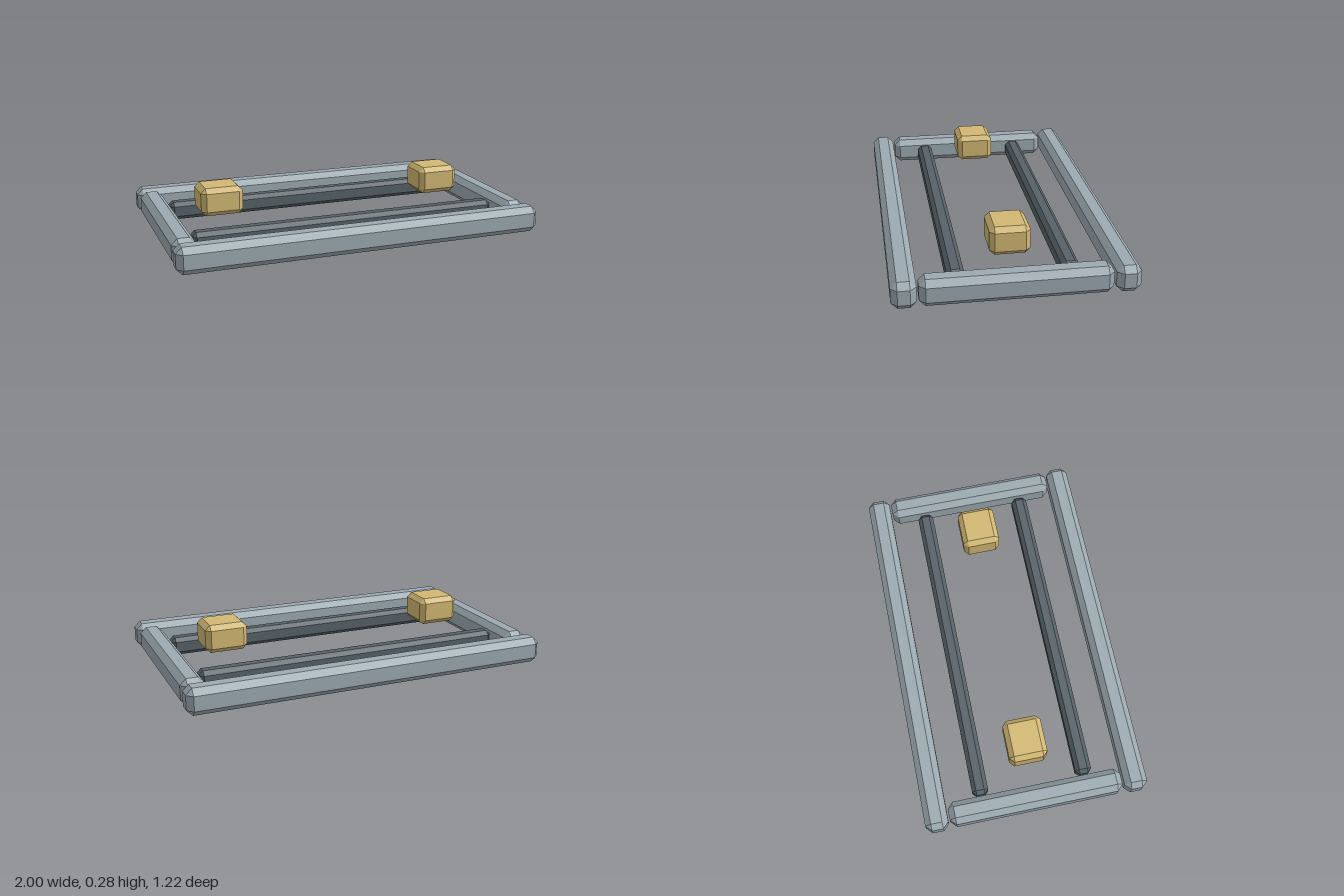
import * as THREE from 'three';
import { ConvexGeometry } from 'three/addons/geometries/ConvexGeometry.js';

// Box with chamfered edges and triangular corner facets
function chamferBox(w, h, d, c) {
  const points = [];
  for (const x of [-w / 2, w / 2])
    for (const y of [-h / 2, h / 2])
      for (const z of [-d / 2, d / 2]) {
        const ix = x - Math.sign(x) * c, iy = y - Math.sign(y) * c, iz = z - Math.sign(z) * c;
        points.push(
          new THREE.Vector3(x, iy, iz),
          new THREE.Vector3(ix, y, iz),
          new THREE.Vector3(ix, iy, z)
        );
      }
  return new ConvexGeometry(points);
}

export function createModel() {
  const group = new THREE.Group();
  const material = (color) => new THREE.MeshStandardMaterial({ color, flatShading: true });
  const frameMat = material(0x9caab1);
  const barMat = material(0x566167);
  const blockMat = material(0xd2b873);

  const add = (name, geometry, mat, x, y, z) => {
    const mesh = new THREE.Mesh(geometry, mat);
    mesh.name = name;
    mesh.position.set(x, y, z);
    group.add(mesh);
  };

  const longRail = chamferBox(2, 0.142, 0.125, 0.032);
  const endRail = chamferBox(0.125, 0.142, 0.95, 0.032);
  const innerBar = chamferBox(1.72, 0.1, 0.088, 0.022);
  const block = chamferBox(0.23, 0.153, 0.208, 0.026);

  for (const s of [1, -1]) {
    // Outer frame
    add(s > 0 ? 'frontRail' : 'backRail', longRail, frameMat, 0, 0.071, s * 0.547);
    add(s > 0 ? 'leftEndRail' : 'rightEndRail', endRail, frameMat, s * 0.931, 0.071, 0);
    // Inner dark bars
    add(s > 0 ? 'frontInnerBar' : 'backInnerBar', innerBar, barMat, 0, 0.067, s * 0.286);
    // Raised blocks
    add(s > 0 ? 'leftBlock' : 'rightBlock', block, blockMat, s * 0.641, 0.2005, 0);
  }
  return group;
}
